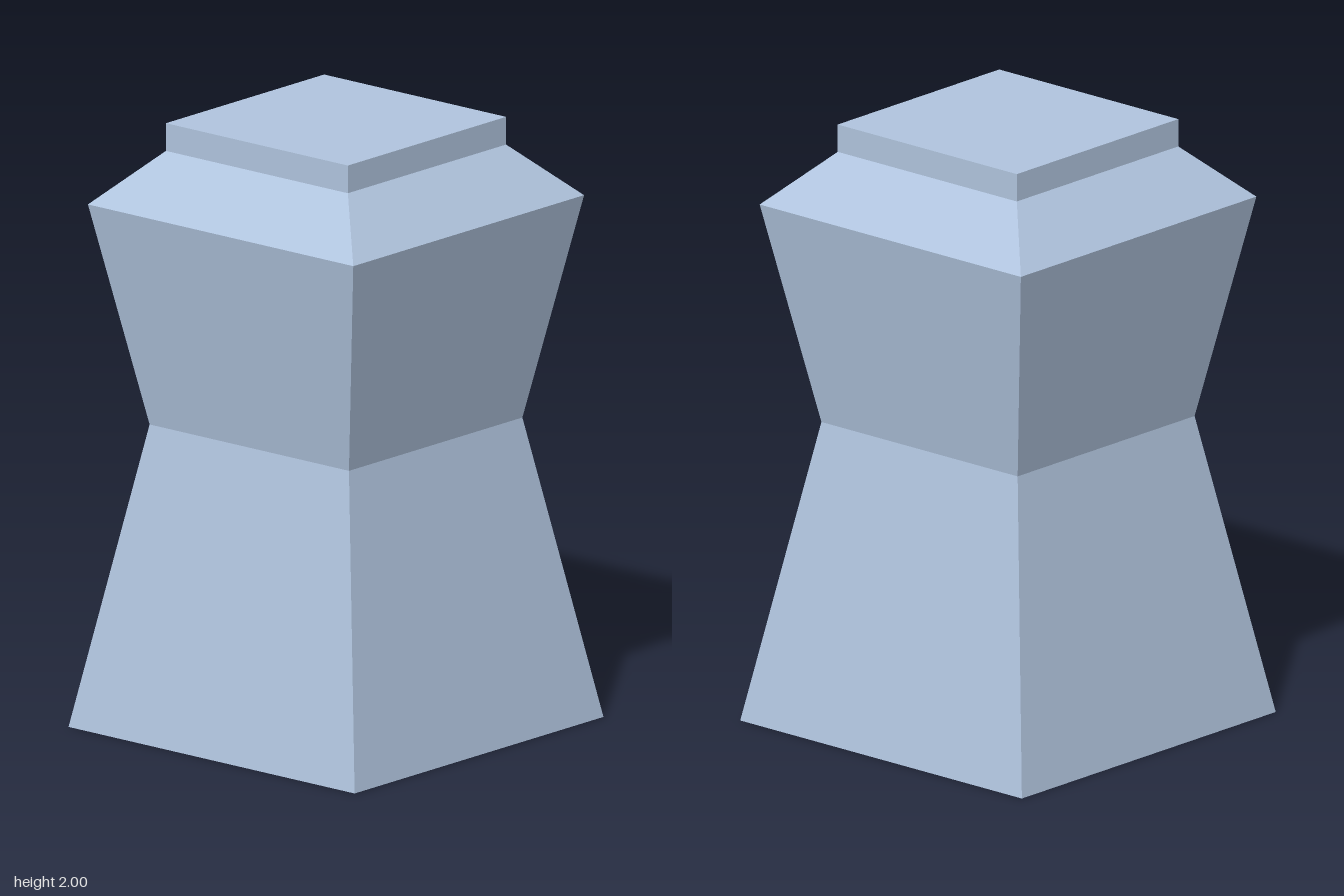
import * as THREE from 'three';

const steel = new THREE.MeshStandardMaterial({ color: 0xb0c4de, flatShading: true });
steel.name = 'light steel blue';

// Square frustum from half-widths and heights; caps are added only where exposed
function section(name, bottomHalf, topHalf, y0, y1, closed = false) {
  const r = Math.SQRT2;
  const geo = new THREE.CylinderGeometry(topHalf * r, bottomHalf * r, y1 - y0, 4, 1, !closed, Math.PI / 4);
  geo.translate(0, (y0 + y1) / 2, 0);
  const mesh = new THREE.Mesh(geo, steel);
  mesh.name = name;
  return mesh;
}

export function createModel() {
  const group = new THREE.Group();
  group.name = 'squarePedestal';

  // Waisted body, sloping shoulder and square cap
  group.add(
    section('lowerBody', 0.607, 0.423, 0, 1.0),
    section('upperBody', 0.423, 0.563, 1.0, 1.735),
    section('shoulder', 0.563, 0.386, 1.735, 1.908),
    section('topCap', 0.386, 0.386, 1.908, 2.0, true)
  );

  // Underside
  const base = new THREE.Mesh(new THREE.PlaneGeometry(1.214, 1.214).rotateX(Math.PI / 2), steel);
  base.name = 'underside';
  group.add(base);

  return group;
}
